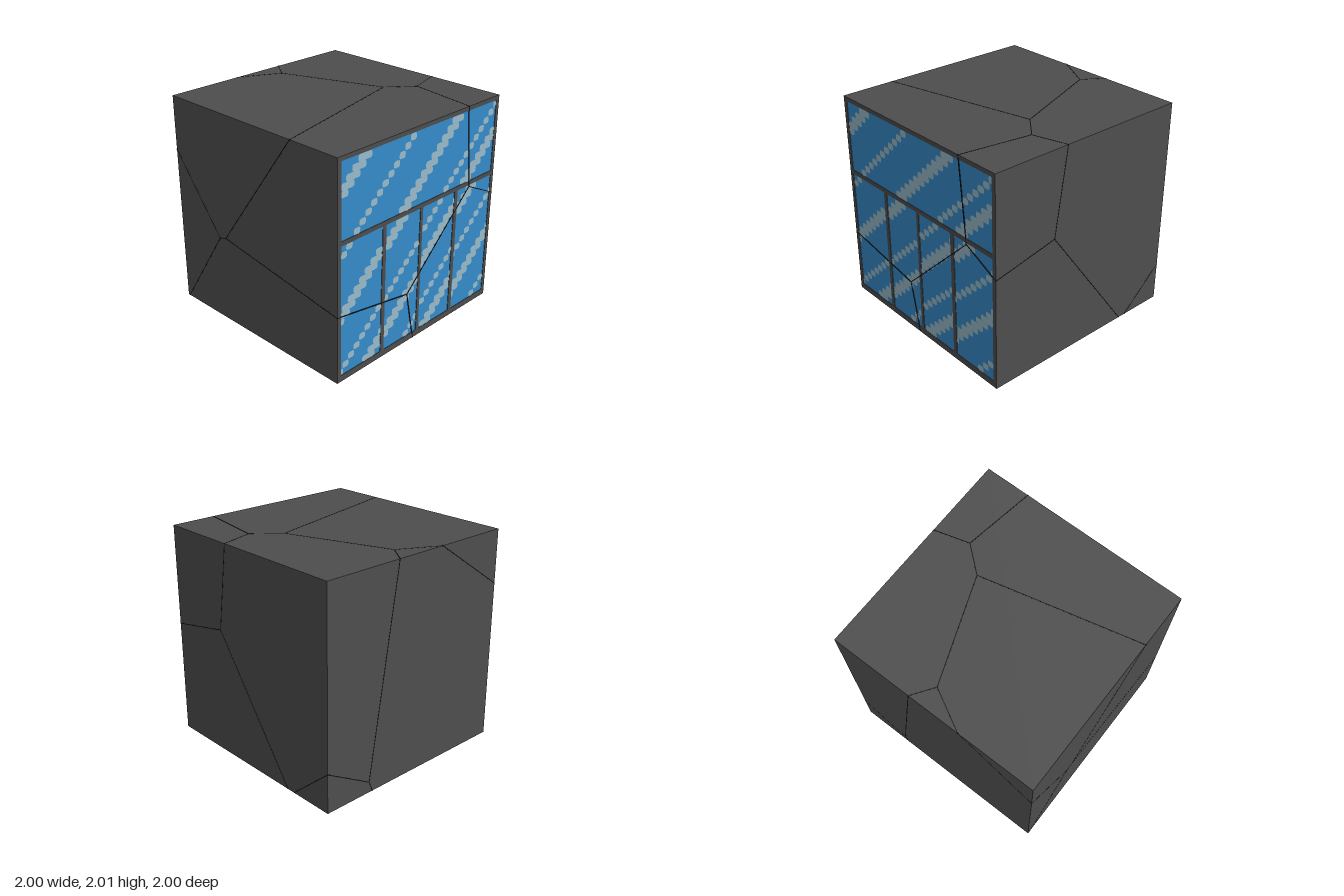
import * as THREE from 'three';

const mat = (name, color) => {
  const m = new THREE.MeshStandardMaterial({ color });
  m.name = name;
  return m;
};

export function createModel() {
  const stone = mat('dark grey', 0x4e4e4e);
  const glass = mat('window blue', 0x368dcc);
  const shine = mat('pale blue', 0x9abccb);
  const dark = mat('crack black', 0x141414);
  const model = new THREE.Group();
  model.name = 'crackedWindowBlock';
  const add = (parent, name, geo, material) => {
    const mesh = new THREE.Mesh(geo, material);
    mesh.name = name;
    parent.add(mesh);
    return mesh;
  };

  // Solid block; the window takes up the last sliver on +x
  const H = 0.999;
  add(model, 'block', new THREE.BoxGeometry(H + 0.992, 2 * H, 2 * H), stone)
    .position.set((0.992 - H) / 2, 1, 0);

  // Window, drawn in a plane where x runs 0..2 from front to back
  const win = new THREE.Group();
  win.name = 'window';
  win.rotation.y = Math.PI / 2;
  win.position.z = 1;
  model.add(win);

  // Panes: left, right, bottom, top, then the gleams as [offset, thick]
  const panes = [
    [0.043, 1.96, 1.296, 1.96, [[-1.76, 1], [-1.2, 0], [-0.63, 1], [-0.1, 0], [0.17, 1]]],
    [0.043, 0.52, 0.06, 1.255, [[-1.18, 0], [-0.605, 1], [-0.06, 0], [0.28, 1]]],
    [0.562, 0.985, 0.06, 1.255, [[-0.56, 1], [-0.04, 0], [0.32, 1], [0.755, 0]]],
    [1.018, 1.44, 0.06, 1.255, [[-0.07, 0], [0.25, 1], [0.7, 0], [1.02, 1]]],
    [1.483, 1.96, 0.06, 1.255, [[0.36, 1], [0.79, 0], [1.21, 1], [1.7, 0]]],
  ];

  // Rectangle with cut corners
  const cutRect = (l, r, b, t, c, Type = THREE.Shape) => new Type([
    [l + c, b], [r - c, b], [r, b + c], [r, t - c], [r - c, t], [l + c, t], [l, t - c], [l, b + c],
  ].map(([x, y]) => new THREE.Vector2(x, y)));

  const frame = cutRect(0.001, 1.999, 0.001, 1.999, 0);
  const gleams = [];
  const ROW = 0.06, SLOPE = 1.07;
  for (const [l, r, b, t, stripes] of panes) {
    frame.holes.push(cutRect(l, r, b, t, 0.006, THREE.Path));
    add(win, 'pane', new THREE.BoxGeometry(r - l, t - b, 0.004), glass)
      .position.set((l + r) / 2, (b + t) / 2, 0.9925);
    // Stepped diagonal gleams, one short block per row
    for (const [offset, thick] of stripes) {
      const half = thick ? 0.077 : 0.036;
      for (let y = b; y < t - 0.01; y += ROW) {
        const top = Math.min(y + ROW, t);
        const mid = offset + SLOPE * (y + ROW / 2);
        const x0 = Math.max(l, mid - half), x1 = Math.min(r, mid + half);
        if (x1 - x0 > 0.015) gleams.push(cutRect(x0, x1, y, top, Math.min(0.013, (x1 - x0) / 3, (top - y) / 3)));
      }
    }
  }
  add(win, 'frame', new THREE.ExtrudeGeometry(frame, { depth: 0.007, bevelEnabled: false }), stone).position.z = 0.992;
  add(win, 'gleams', new THREE.ShapeGeometry(gleams), shine).position.z = 0.9965;

  // Cracks: per face, a 2D-to-3D map, the normal and the crack polylines
  const faces = [
    ['front', (x, y) => [x, y, 1], [0, 0, 1], [
      [[-1, 1.5], [-0.45, 0.81], [-0.37, 0.835], [0.49, 2]],
      [[-0.98, 0], [-0.45, 0.81]], [[-0.37, 0.835], [1, 0.63]]]],
    ['right', (z, y) => [1, y, z], [1, 0, 0], [
      [[1, 0.63], [0.15, 0.485], [-0.645, 1.24], [-0.57, 2]],
      [[0.15, 0.485], [0.05, 0]], [[-0.645, 1.24], [-1, 1.07]]]],
    ['top', (x, z) => [x, 2, z], [0, 1, 0], [
      [[0.25, -1], [0.34, -0.68], [0.145, -0.45], [-0.805, -0.095], [-1, 0.27]],
      [[0.34, -0.68], [1, -0.575]], [[0.145, -0.45], [0.49, 1]], [[-0.805, -0.095], [-1, 0.23 * -1]]]],
    ['back', (x, y) => [x, y, -1], [0, 0, -1], [
      [[0.25, 2], [0.37, 1.195], [-0.5, 0]],
      [[0.37, 1.195], [1, 1.07]], [[-0.575, 0], [-1, 0.37]]]],
    ['left', (z, y) => [-1, y, z], [-1, 0, 0], [
      [[-0.23, 2], [-0.53, 0.1], [-0.49, 0]],
      [[-1, 0.37], [-0.53, 0.1]], [[0.27, 2], [1, 1.5]]]],
    ['bottom', (x, z) => [x, 0, z], [0, -1, 0], [
      [[1, 0.05], [-0.55, -0.23], [-0.91, -0.49], [-1, -0.49]],
      [[-0.55, -0.23], [-0.5, -1]], [[-0.91, -0.49], [-0.575, -1]], [[-0.55, -0.23], [-0.98, 1]]]],
  ];
  const DEPTH = 0.007, WIDTH = 0.008;
  for (const [name, map, normal, lines] of faces) {
    const cracks = new THREE.Group();
    cracks.name = name + 'Cracks';
    model.add(cracks);
    const n = new THREE.Vector3(...normal);
    for (const line of lines) {
      for (let i = 1; i < line.length; i++) {
        const p = new THREE.Vector3(...map(...line[i - 1]));
        const q = new THREE.Vector3(...map(...line[i]));
        const dir = q.clone().sub(p);
        const geo = new THREE.BoxGeometry(dir.length(), DEPTH, WIDTH);
        dir.normalize();
        geo.applyMatrix4(new THREE.Matrix4().makeBasis(dir, n, dir.clone().cross(n)));
        add(cracks, 'crack', geo, dark).position.copy(p.add(q).multiplyScalar(0.5).addScaledVector(n, -DEPTH / 2));
      }
    }
  }
  return model;
}
